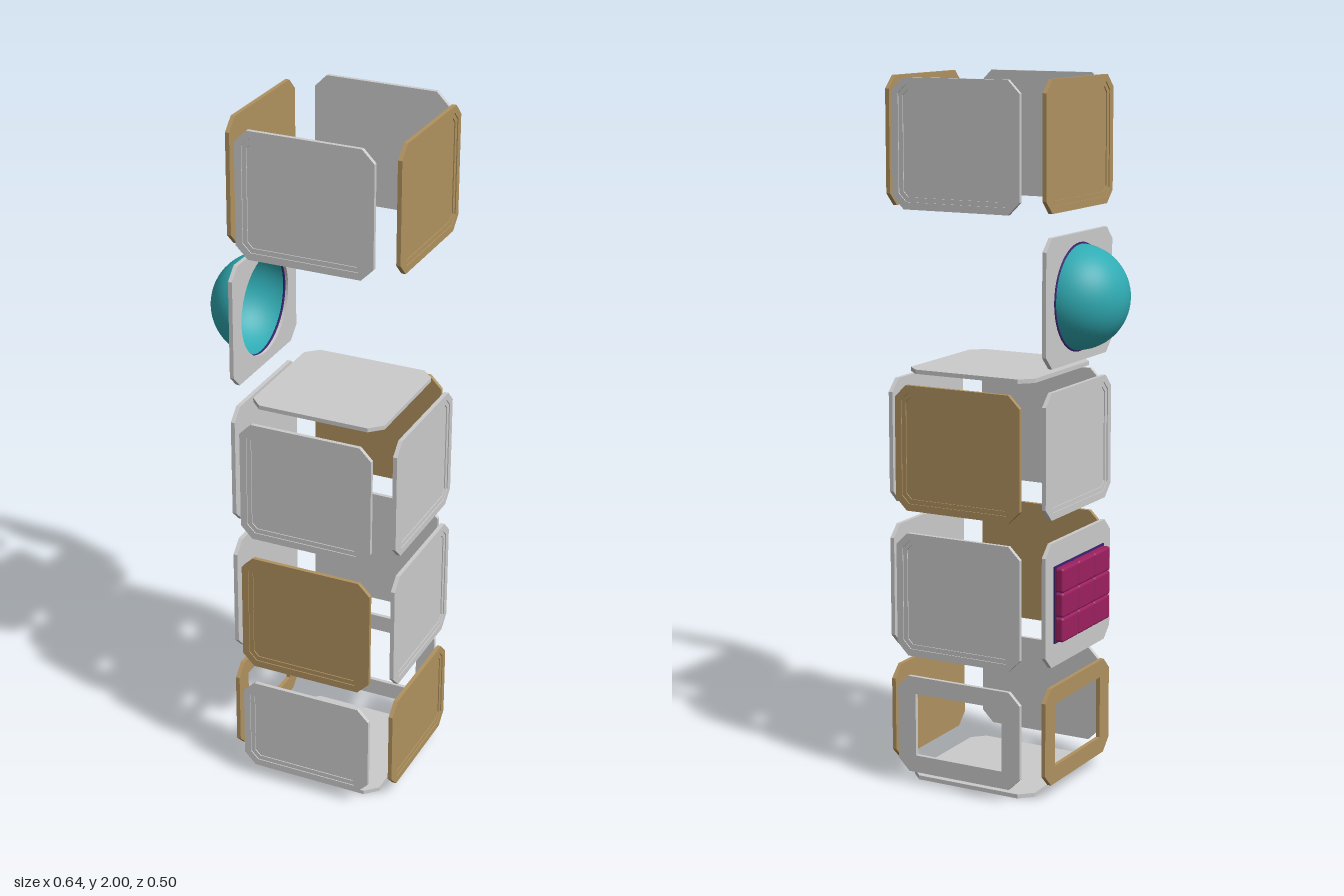
import * as THREE from 'three';
import { RoundedBoxGeometry } from 'three/addons/geometries/RoundedBoxGeometry.js';

const W = 0.393, T = 0.012, CHAMFER = 0.035, OFFSET = 0.237, H = 0.355;

const grey = new THREE.MeshStandardMaterial({ color: 0xcccccc });
const tan = new THREE.MeshStandardMaterial({ color: 0xb0925f });
const teal = new THREE.MeshStandardMaterial({ color: 0x30acb4, side: THREE.DoubleSide });
const magenta = new THREE.MeshStandardMaterial({ color: 0x9c2060 });
const purple = new THREE.MeshStandardMaterial({ color: 0x3a2370 });

// Rectangle with cut corners, moved inwards by an inset
function octagon(w, h, inset = 0, PathType = THREE.Shape) {
  const a = w / 2 - inset, b = h / 2 - inset, c = CHAMFER - inset * 0.586;
  return new PathType([
    [a, -b + c], [a, b - c], [a - c, b], [-a + c, b],
    [-a, b - c], [-a, -b + c], [-a + c, -b], [a - c, -b],
  ].map(([x, y]) => new THREE.Vector2(x, y)));
}

function rectHole(w, h) {
  const p = new THREE.Path();
  p.moveTo(-w / 2, -h / 2).lineTo(-w / 2, h / 2).lineTo(w / 2, h / 2).lineTo(w / 2, -h / 2).closePath();
  return p;
}

function circleHole(r) {
  const p = new THREE.Path();
  p.absarc(0, 0, r, 0, Math.PI * 2, true);
  return p;
}

// A flat layer from z0 to z1, with optional hole
function layer(h, z0, z1, material, hole) {
  const shape = octagon(W, h);
  if (hole) shape.holes.push(hole);
  const geo = new THREE.ExtrudeGeometry(shape, { depth: z1 - z0, bevelEnabled: false, curveSegments: 32 });
  geo.translate(0, 0, z0);
  return new THREE.Mesh(geo, material);
}

function addMesh(group, name, mesh) {
  mesh.name = name;
  group.add(mesh);
  return mesh;
}

// Solid wall panel with a two-step sunken field on its outer face
function sunkenPanel(h, material) {
  const g = new THREE.Group();
  addMesh(g, 'panelBack', layer(h, 0, 0.006, material));
  addMesh(g, 'panelInnerRim', layer(h, 0.006, 0.009, material, octagon(W, h, 0.033, THREE.Path)));
  addMesh(g, 'panelOuterRim', layer(h, 0.009, T, material, octagon(W, h, 0.02, THREE.Path)));
  return g;
}

// Open frame around a window
function windowPanel(h, material) {
  const g = new THREE.Group();
  addMesh(g, 'windowFrame', layer(h, 0, T, material, rectHole(W - 0.115, h - 0.1)));
  return g;
}

// Panel with a hollow half-sphere bulging outwards
function domePanel(h, material) {
  const g = new THREE.Group(), r = 0.147;
  addMesh(g, 'domePlate', layer(h, 0, T, material, circleHole(r - 0.002)));
  const geo = new THREE.SphereGeometry(r, 48, 16, 0, Math.PI * 2, 0, Math.PI / 2);
  geo.rotateX(Math.PI / 2);
  addMesh(g, 'dome', new THREE.Mesh(geo, teal)).position.z = 0.004;
  addMesh(g, 'domeTrim', new THREE.Mesh(new THREE.TorusGeometry(r, 0.004, 6, 48), purple)).position.z = T;
  return g;
}

// Panel carrying a grid of small cushions
function cushionPanel(h, material) {
  const g = new THREE.Group(), cols = 3, rows = 3, w = 0.29 / cols, ht = 0.212 / rows;
  addMesh(g, 'cushionPlate', layer(h, 0, T, material));
  addMesh(g, 'cushionBacking', new THREE.Mesh(new THREE.BoxGeometry(0.3, 0.22, 0.006), purple)).position.z = T + 0.002;
  const geo = new RoundedBoxGeometry(w, ht, 0.028, 3, 0.008);
  for (let i = 0; i < cols; i++) {
    for (let j = 0; j < rows; j++) {
      addMesh(g, 'cushion', new THREE.Mesh(geo, magenta))
        .position.set((i - 1) * w, (j - 1) * ht, T + 0.014);
    }
  }
  return g;
}

export function createModel() {
  const model = new THREE.Group();
  model.name = 'explodedPanelTower';
  const angles = { front: 0, left: Math.PI / 2, back: Math.PI, right: -Math.PI / 2 };

  // Storeys from top to bottom, each wall as [builder, material]
  const storeys = [
    { name: 'top', y: 1.8225, h: H, walls: {
      front: [sunkenPanel, grey], left: [sunkenPanel, tan], back: [sunkenPanel, grey], right: [sunkenPanel, tan] } },
    { name: 'dome', y: 1.403, h: H, walls: { right: [domePanel, grey] } },
    { name: 'upper', y: 0.983, h: H, walls: {
      front: [sunkenPanel, grey], left: [sunkenPanel, grey], back: [sunkenPanel, tan], right: [sunkenPanel, grey] } },
    { name: 'middle', y: 0.563, h: H, walls: {
      front: [sunkenPanel, tan], left: [sunkenPanel, grey], back: [sunkenPanel, grey], right: [cushionPanel, grey] } },
    { name: 'bottom', y: 0.184, h: 0.283, walls: {
      front: [sunkenPanel, grey], left: [sunkenPanel, tan], back: [windowPanel, grey], right: [windowPanel, tan] } },
  ];

  for (const { name, y, h, walls } of storeys) {
    const storey = new THREE.Group();
    storey.name = `${name}Storey`;
    for (const [side, [build, material]] of Object.entries(walls)) {
      const panel = build(h, material), a = angles[side];
      panel.name = `${side}Panel`;
      panel.rotation.y = a;
      panel.position.set(Math.sin(a) * OFFSET, y, Math.cos(a) * OFFSET);
      storey.add(panel);
    }
    model.add(storey);
  }

  // Floor and roof plates
  for (const [name, y] of [['floorPlate', 0], ['roofPlate', 1.184]]) {
    const plate = addMesh(model, name, layer(W, 0, T, grey));
    plate.rotation.x = -Math.PI / 2;
    plate.position.y = y;
  }

  // Centre the whole, as the dome bulges to one side
  model.children.forEach((c) => { c.position.x += 0.068; c.position.z -= 0.001; });
  return model;
}
